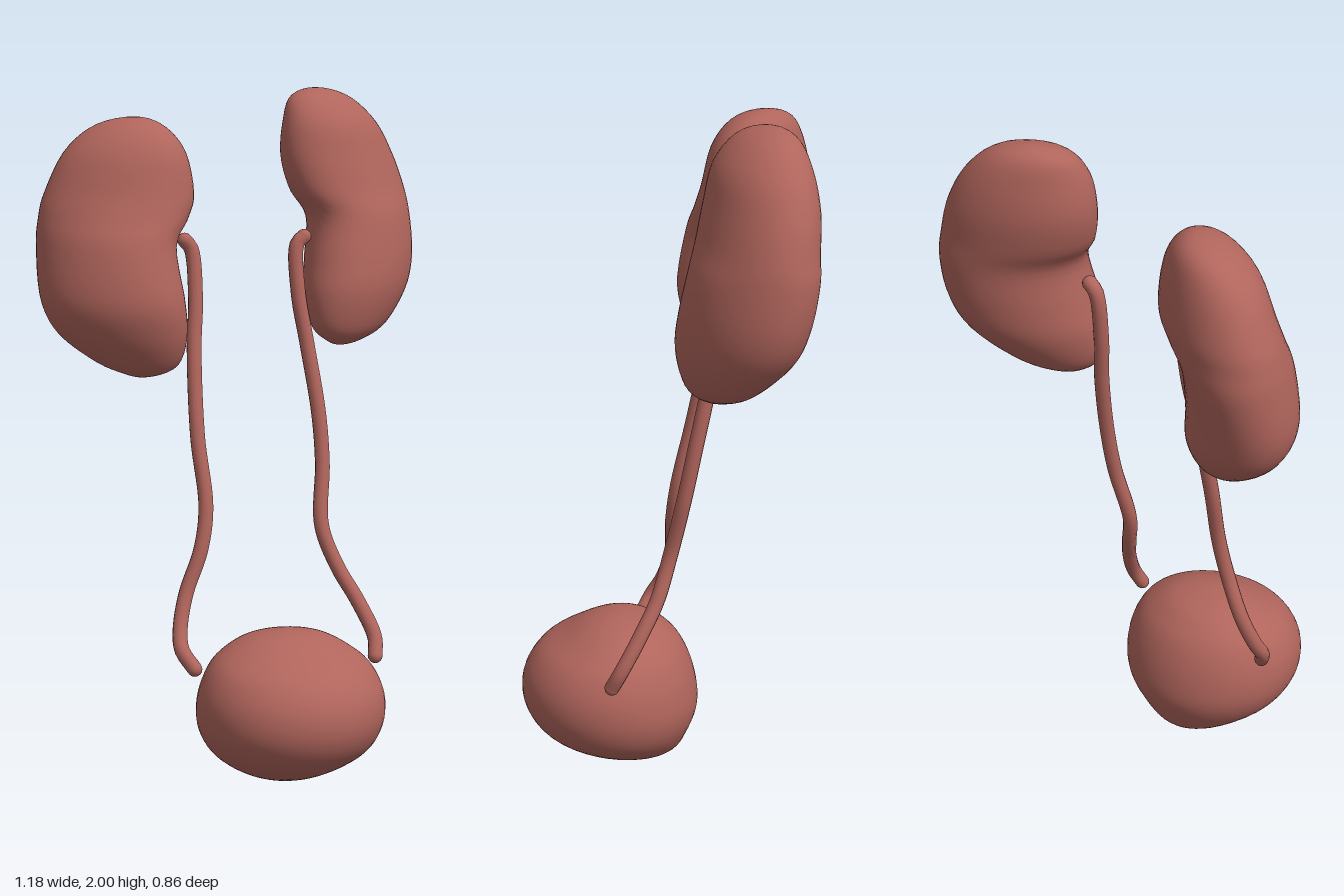
import * as THREE from 'three';
import { mergeVertices } from 'three/addons/utils/BufferGeometryUtils.js';

const tissue = new THREE.MeshStandardMaterial({ color: 0xb0655c });

// Closed smooth outline: top, down one side, bottom, up the other side.
function outline(rows, a, b) {
  const n = rows.length - 1;
  const down = rows.map((r) => new THREE.Vector3(r[a], r[0], 0));
  const up = rows.slice(1, n).reverse().map((r) => new THREE.Vector3(r[b], r[0], 0));
  return new THREE.CatmullRomCurve3([...down, ...up], true, 'catmullrom', 0.5);
}

// Organ lofted from elliptical sections; rows are [y, xMin, xMax, zMin, zMax].
// skew slants each ellipse in plan.
function organ(name, rows, skew = 0) {
  const rings = 44, sides = 48, pos = [], index = [];
  const front = outline(rows, 1, 2), side = outline(rows, 3, 4);
  for (let i = 0; i <= rings; i++) {
    const t = i / rings / 2;
    const x0 = front.getPoint(t), x1 = front.getPoint(1 - t);
    const z0 = side.getPoint(t), z1 = side.getPoint(1 - t);
    const y = (x0.y + x1.y) / 2;
    for (let j = 0; j < sides; j++) {
      const a = (j / sides) * Math.PI * 2;
      pos.push(
        (x0.x + x1.x) / 2 + ((x1.x - x0.x) / 2) * Math.cos(a),
        y,
        (z0.x + z1.x) / 2 + ((z1.x - z0.x) / 2) * Math.sin(a + skew));
      if (i === rings) continue;
      const k = i * sides + j, l = i * sides + ((j + 1) % sides);
      if (i > 0) index.push(k, l, k + sides);
      if (i < rings - 1) index.push(l, l + sides, k + sides);
      else index.push(l, k + sides, k + sides);
    }
  }
  let geo = new THREE.BufferGeometry();
  geo.setAttribute('position', new THREE.Float32BufferAttribute(pos, 3));
  geo.setIndex(index.length ? index : null);
  geo = mergeVertices(geo, 1e-5);
  geo.computeVertexNormals();
  const mesh = new THREE.Mesh(geo, tissue);
  mesh.name = name;
  return mesh;
}

// Ureter: a thin tube with rounded ends.
function ureter(name, points) {
  const g = new THREE.Group();
  g.name = name;
  const pts = points.map((p) => new THREE.Vector3(...p));
  const radius = 0.022;
  g.add(new THREE.Mesh(
    new THREE.TubeGeometry(new THREE.CatmullRomCurve3(pts), 80, radius, 12), tissue));
  for (const p of [pts[0], pts[pts.length - 1]]) {
    const cap = new THREE.Mesh(new THREE.SphereGeometry(radius, 12, 8), tissue);
    cap.position.copy(p);
    g.add(cap);
  }
  return g;
}

export function createModel() {
  const model = new THREE.Group();
  model.name = 'urinarySystem';

  // Kidneys, with the hilum notch on the inner side
  model.add(organ('leftKidney', [
    [2.0, 0.28, 0.28, -0.29, -0.29],
    [1.975, 0.19, 0.39, -0.36, -0.2],
    [1.9, 0.155, 0.48, -0.4, -0.135],
    [1.8, 0.145, 0.54, -0.42, -0.11],
    [1.7, 0.17, 0.575, -0.42, -0.09],
    [1.62, 0.22, 0.588, -0.42, -0.07],
    [1.5, 0.205, 0.588, -0.4, -0.045],
    [1.4, 0.19, 0.555, -0.36, -0.035],
    [1.3, 0.205, 0.47, -0.27, -0.055],
    [1.255, 0.25, 0.38, -0.2, -0.09],
    [1.24, 0.3, 0.3, -0.14, -0.14],
  ], -0.35));
  model.add(organ('rightKidney', [
    [1.92, -0.3, -0.3, -0.28, -0.28],
    [1.895, -0.41, -0.225, -0.36, -0.19],
    [1.82, -0.5, -0.17, -0.4, -0.13],
    [1.7, -0.56, -0.15, -0.425, -0.1],
    [1.63, -0.58, -0.175, -0.425, -0.08],
    [1.55, -0.59, -0.22, -0.42, -0.055],
    [1.4, -0.59, -0.205, -0.385, -0.03],
    [1.3, -0.545, -0.195, -0.355, -0.05],
    [1.22, -0.45, -0.21, -0.29, -0.09],
    [1.185, -0.38, -0.25, -0.24, -0.125],
    [1.17, -0.32, -0.32, -0.18, -0.18],
  ], 0.35));

  // Bladder, bulging forward
  model.add(organ('bladder', [
    [0.455, 0, 0, 0.14, 0.14],
    [0.44, -0.11, 0.11, 0.04, 0.22],
    [0.4, -0.19, 0.19, -0.02, 0.3],
    [0.35, -0.24, 0.245, -0.06, 0.38],
    [0.27, -0.27, 0.278, -0.09, 0.425],
    [0.18, -0.265, 0.275, -0.1, 0.42],
    [0.1, -0.215, 0.23, -0.075, 0.36],
    [0.03, -0.11, 0.12, -0.03, 0.23],
    [0.005, 0, 0, 0.08, 0.08],
  ]));

  // Ureters, from each hilum down to the bladder
  model.add(ureter('leftUreter', [
    [0.19, 1.565, -0.165], [0.168, 1.545, -0.165], [0.165, 1.4, -0.15],
    [0.185, 1.25, -0.13], [0.205, 1.05, -0.09], [0.205, 0.9, -0.06],
    [0.185, 0.72, -0.02], [0.22, 0.6, 0.015], [0.265, 0.5, 0.065],
    [0.295, 0.4, 0.12], [0.285, 0.35, 0.145],
  ]));
  model.add(ureter('rightUreter', [
    [-0.185, 1.565, -0.175], [-0.165, 1.54, -0.175], [-0.16, 1.4, -0.155],
    [-0.175, 1.25, -0.13], [-0.185, 1.0, -0.08], [-0.178, 0.8, -0.035],
    [-0.2, 0.68, -0.02], [-0.25, 0.55, -0.015], [-0.28, 0.45, 0.015],
    [-0.285, 0.4, 0.045], [-0.258, 0.35, 0.075],
  ]));

  return model;
}
